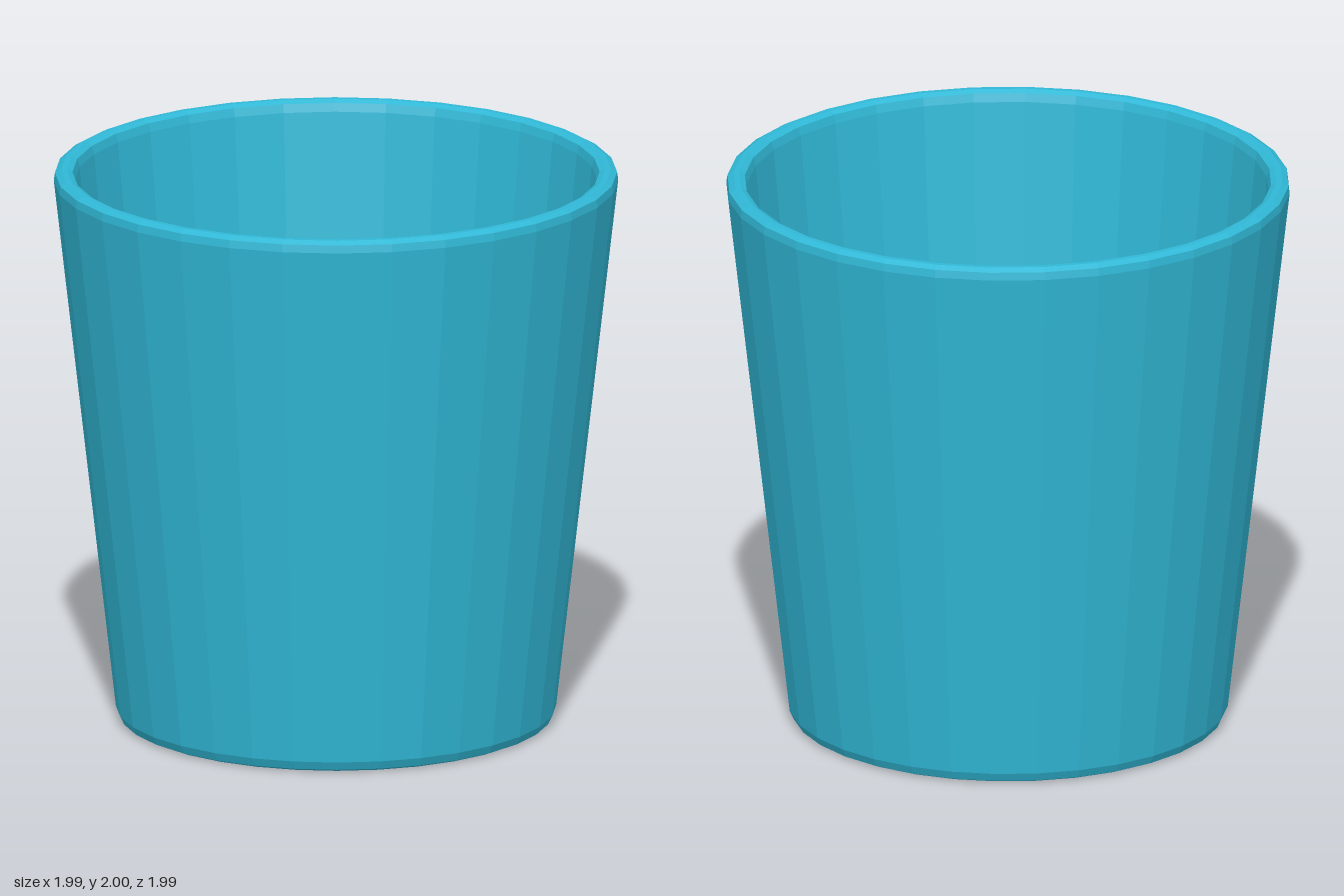
import * as THREE from 'three';

export function createModel() {
  const model = new THREE.Group();
  model.name = 'cup';

  const material = new THREE.MeshStandardMaterial({ color: 0x30b8d6, flatShading: true });

  // Closed wall profile (radius, height): underside, outside, rim, inside, floor
  const profile = [
    [0, 0], [0.74, 0], [0.763, 0.01], [0.777, 0.04],      // underside and bottom bevel
    [0.996, 1.96], [0.992, 1.988], [0.97, 2],             // outer wall and outer rim bevel
    [0.95, 2], [0.93, 1.99], [0.922, 1.96],               // rim top and inner rim bevel
    [0.738, 0.12], [0.726, 0.09], [0.7, 0.08], [0, 0.08], // inner wall and floor
  ].map(([r, y]) => new THREE.Vector2(r, y));

  const body = new THREE.Mesh(new THREE.LatheGeometry(profile, 32), material);
  body.name = 'cupBody';
  model.add(body);

  return model;
}
